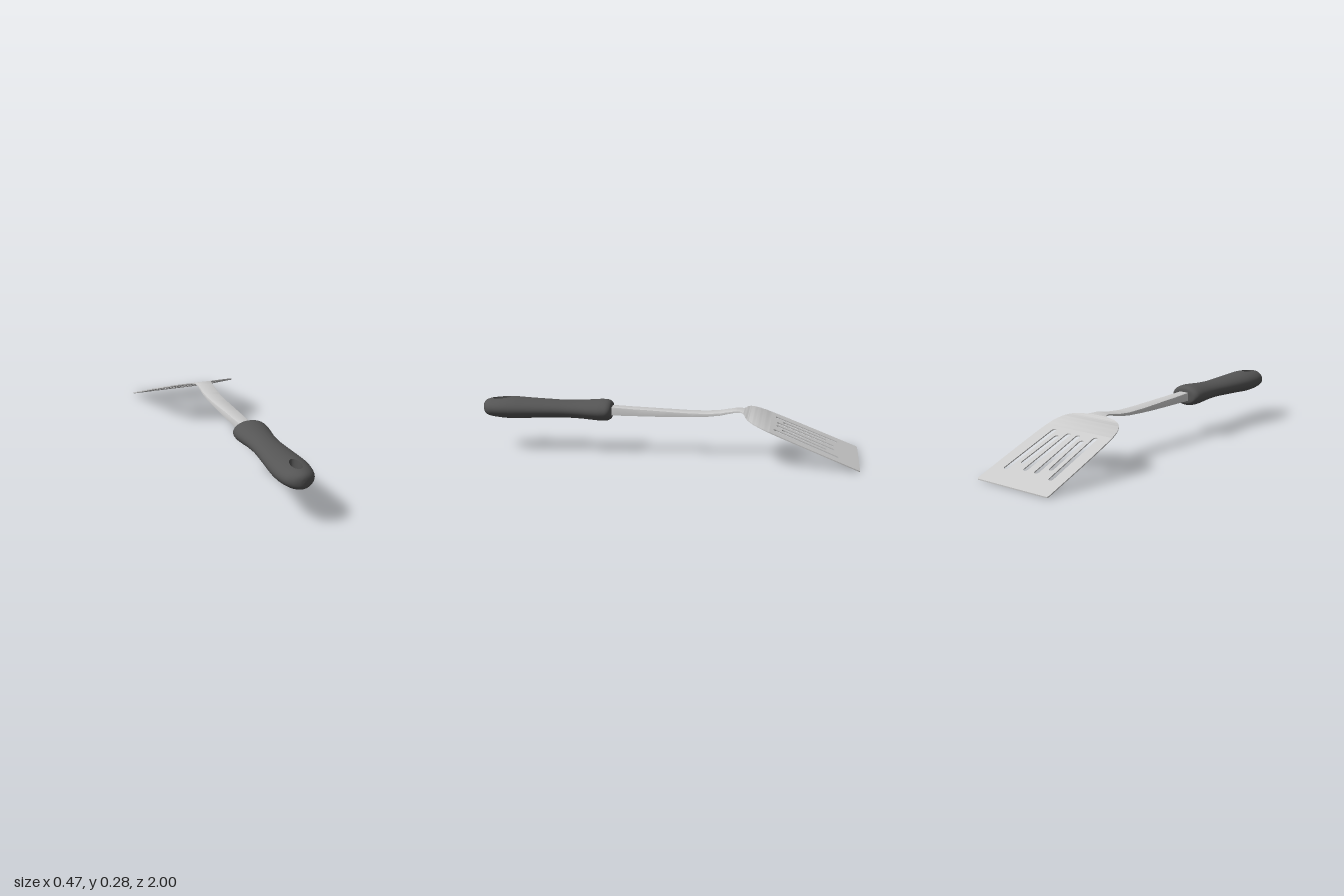
import * as THREE from 'three';
import { mergeGeometries, mergeVertices, toCreasedNormals } from 'three/addons/utils/BufferGeometryUtils.js';

const SHEET = 0.006;  // metal thickness
const SLOPE = 0.4;    // fall of the blade
const JOIN = 0.54;    // where the shoulder meets the flat blade (-z)

// Surface through rows of points; every row has the same count.
function skin(rows, flip = false) {
  const n = rows[0].length, index = [];
  for (let i = 0; i < rows.length - 1; i++) {
    for (let j = 0; j < n - 1; j++) {
      const a = i * n + j, b = a + 1, c = a + n, d = c + 1;
      if (flip) index.push(a, c, b, b, c, d);
      else index.push(a, b, c, b, d, c);
    }
  }
  const geo = new THREE.BufferGeometry();
  geo.setAttribute('position', new THREE.Float32BufferAttribute(rows.flat(2), 3));
  geo.setIndex(index);
  return geo;
}

const smoothPath = (pts, count) =>
  new THREE.CatmullRomCurve3(pts.map(p => new THREE.Vector3(...p)), false, 'centripetal').getPoints(count);

function named(geo, material, name) {
  const mesh = new THREE.Mesh(geo, material);
  mesh.name = name;
  return mesh;
}

// Flat slotted blade, drawn in plan (x, -z) and then sloped.
function bladeGeometry() {
  const side = [[0.221, JOIN], [0.226, 0.6], [0.2305, 0.7], [0.234, 0.83], [0.237, 0.99], [0.235, 0.997], [0.229, 1]];
  const outline = [...side, ...side.map(([x, v]) => [-x, v]).reverse()];
  const shape = new THREE.Shape(outline.map(p => new THREE.Vector2(...p)));

  // [x near handle, v near handle, x near tip, v near tip]
  const slots = [[0.139, 0.56, 0.151, 0.9], [0.084, 0.6, 0.095, 0.84], [0.032, 0.57, 0.037, 0.88]];
  const r = 0.014;
  for (const [x0, v0, x1, v1] of slots) {
    for (const s of [-1, 1]) {
      const pts = [];
      for (let k = 0; k <= 8; k++) {
        const a = Math.PI * k / 8;
        pts.push(new THREE.Vector2(s * x1 + r * Math.cos(a), v1 - r + r * Math.sin(a)));
      }
      for (let k = 0; k <= 8; k++) {
        const a = Math.PI * (1 + k / 8);
        pts.push(new THREE.Vector2(s * x0 + r * Math.cos(a), v0 + r + r * Math.sin(a)));
      }
      shape.holes.push(new THREE.Path(pts));
    }
  }
  const geo = new THREE.ExtrudeGeometry(shape, { depth: SHEET, bevelEnabled: false });
  const p = geo.attributes.position;
  for (let i = 0; i < p.count; i++) {
    const v = p.getY(i);
    p.setXYZ(i, p.getX(i), SLOPE * (1 - v) + p.getZ(i), -v);
  }
  return toCreasedNormals(geo, 0.6);
}

// Channel-shaped shank, open below, flattening out into the blade shoulder.
function shankGeometry() {
  const top = z => SLOPE * (1 + z) + SHEET;
  // z, half width, top height, flange depth
  const stations = [
    [0.36, 0.029, 0.251, 0.048], [0.3, 0.03, 0.249, 0.045], [0.15, 0.034, 0.242, 0.037],
    [0, 0.037, 0.236, 0.03], [-0.1, 0.039, 0.232, 0.023], [-0.2, 0.041, 0.231, 0.017],
    [-0.27, 0.042, 0.236, 0.014], [-0.32, 0.042, 0.244, 0.011], [-0.36, 0.043, 0.25, 0.008],
    [-0.385, 0.047, 0.249, SHEET], [-0.4, 0.063, 0.245, SHEET], [-0.407, 0.09, 0.2425, SHEET],
    [-0.413, 0.12, top(-0.413), SHEET], [-0.425, 0.153, top(-0.425), SHEET],
    [-0.445, 0.181, top(-0.445), SHEET], [-0.47, 0.2, top(-0.47), SHEET],
    [-0.5, 0.213, top(-0.5), SHEET], [-JOIN, 0.221, top(-JOIN), SHEET],
  ];
  const zw = smoothPath(stations.map(([z, w]) => [z, w, 0]), 90);
  const heightAt = (z, k) => {
    let i = 0;
    while (i < stations.length - 2 && stations[i + 1][0] > z) i++;
    const a = stations[i], b = stations[i + 1];
    return THREE.MathUtils.lerp(a[k], b[k], THREE.MathUtils.smoothstep(z, b[0], a[0]) * -1 + 1) * 0.3
      + THREE.MathUtils.mapLinear(z, a[0], b[0], a[k], b[k]) * 0.7;
  };
  const rows = zw.map(({ x: z, y: w }) => {
    const y = heightAt(z, 2), d = Math.max(SHEET, heightAt(z, 3)), c = Math.min(0.006, (d - SHEET) * 0.6 + 0.0005);
    const low = y - d, under = y - SHEET, k = w - SHEET;
    return [[-w, low], [-w, y - c], [-w + c * 0.3, y - c * 0.3], [-w + c, y], [w - c, y], [w - c * 0.3, y - c * 0.3],
      [w, y - c], [w, low], [k, low], [k, under], [-k, under], [-k, low], [-w, low]].map(([px, py]) => [px, py, z]);
  });
  return toCreasedNormals(skin(rows), 0.7);
}

// Oval grip with a hanging hole; each half runs from the centre line or hole rim outwards.
function gripGeometry() {
  const yMid = 0.227, hole = { z: 0.9, rx: 0.027, rz: 0.05 };
  const profile = [ // z, half width, half height
    [0.3, 0, 0], [0.3, 0.06, 0.032], [0.305, 0.076, 0.044], [0.32, 0.087, 0.053], [0.35, 0.09, 0.056],
    [0.4, 0.086, 0.053], [0.47, 0.077, 0.048], [0.55, 0.073, 0.046], [0.65, 0.079, 0.049], [0.75, 0.087, 0.053],
    [0.83, 0.091, 0.057], [0.89, 0.088, 0.055], [0.93, 0.08, 0.051], [0.96, 0.068, 0.047],
    [0.985, 0.045, 0.037], [0.997, 0.02, 0.022], [1, 0, 0],
  ];
  const path = smoothPath(profile, 110);
  const at = z => {
    const i = path.findIndex(p => p.x > z);
    const a = path[i - 1], b = path[i];
    return a.clone().lerp(b, (z - a.x) / (b.x - a.x));
  };
  const rim = Array.from({ length: 25 }, (_, k) => at(hole.z - hole.rz * Math.cos(Math.PI * k / 24)));
  const inner = z => hole.rx * Math.sqrt(Math.max(0, 1 - ((z - hole.z) / hole.rz) ** 2));
  const stations = [
    ...path.filter(p => p.x < hole.z - hole.rz - 0.001), ...rim, ...path.filter(p => p.x > hole.z + hole.rz + 0.001),
  ];
  const halves = [], walls = [];
  for (const s of [1, -1]) {
    const point = (st, a) => {
      const w = Math.max(st.y, 1e-4), x0 = Math.min(inner(st.x), w);
      const x = x0 + (w - x0) * Math.cos(a);
      const y = Math.max(st.z, 0) * Math.sqrt(Math.max(0, 1 - (x / w) ** 2)) * Math.sign(a);
      return [s * x, yMid + y, st.x];
    };
    const angles = Array.from({ length: 29 }, (_, j) => Math.PI * (j / 28 - 0.5));
    halves.push(skin(stations.map(st => angles.map(a => point(st, a))), s < 0));
    walls.push(skin(rim.map(st => [point(st, -Math.PI / 2), point(st, Math.PI / 2)]), s > 0));
  }
  return [halves, walls].map(list => {
    const geo = mergeVertices(mergeGeometries(list), 1e-5);
    geo.computeVertexNormals();
    return geo;
  });
}

export function createModel() {
  const metal = new THREE.MeshStandardMaterial({ color: 0xcccccc });
  const rubber = new THREE.MeshStandardMaterial({ color: 0x555555 });
  const model = new THREE.Group();
  model.name = 'slottedTurner';

  const handle = new THREE.Group();
  handle.name = 'handle';
  const [grip, holeWall] = gripGeometry();
  handle.add(named(grip, rubber, 'grip'), named(holeWall, rubber, 'hangingHole'));

  model.add(named(bladeGeometry(), metal, 'blade'), named(shankGeometry(), metal, 'shank'), handle);
  return model;
}
